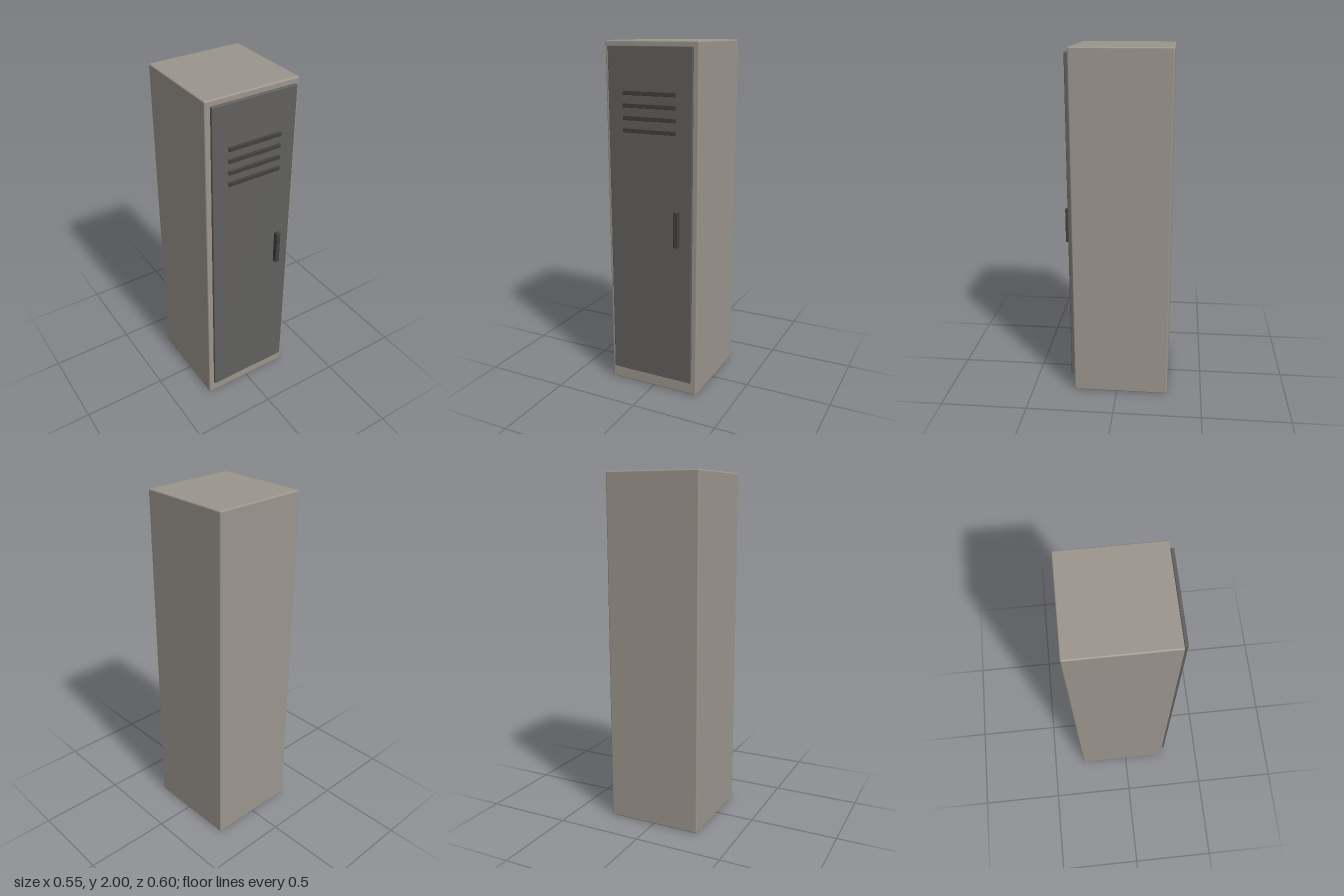
import * as THREE from 'three';
import { RoundedBoxGeometry } from 'three/addons/geometries/RoundedBoxGeometry.js';

const bodyPaint = new THREE.MeshStandardMaterial({ name: 'warm grey paint', color: 0x9b958c });
const doorPaint = new THREE.MeshStandardMaterial({ name: 'dark grey paint', color: 0x605f5d });
const darkMetal = new THREE.MeshStandardMaterial({ name: 'charcoal metal', color: 0x413f3e });

// Softly rounded box given by its extents [min, max] on each axis
function block(name, material, [x0, x1], [y0, y1], [z0, z1], radius) {
  const geometry = new RoundedBoxGeometry(x1 - x0, y1 - y0, z1 - z0, 2, radius);
  const mesh = new THREE.Mesh(geometry, material);
  mesh.name = name;
  mesh.position.set((x0 + x1) / 2, (y0 + y1) / 2, (z0 + z1) / 2);
  return mesh;
}

export function createModel() {
  const locker = new THREE.Group();
  locker.name = 'locker';

  // Cabinet
  locker.add(block('cabinet', bodyPaint, [-0.277, 0.277], [0, 2], [-0.3, 0.252], 0.008));

  // Door, standing just proud of the cabinet
  const door = new THREE.Group();
  door.name = 'door';
  door.add(block('doorPanel', doorPaint, [-0.25, 0.25], [0.083, 1.972], [0.256, 0.274], 0.004));

  // Vent slats
  for (let i = 0; i < 4; i++) {
    const y = 1.527 + i * 0.067;
    door.add(block('ventSlat', darkMetal, [-0.157, 0.157], [y - 0.011, y + 0.011], [0.272, 0.285], 0.002));
  }

  // Upright pull handle
  door.add(block('handle', darkMetal, [0.153, 0.179], [0.903, 1.103], [0.272, 0.3], 0.003));
  locker.add(door);

  return locker;
}
